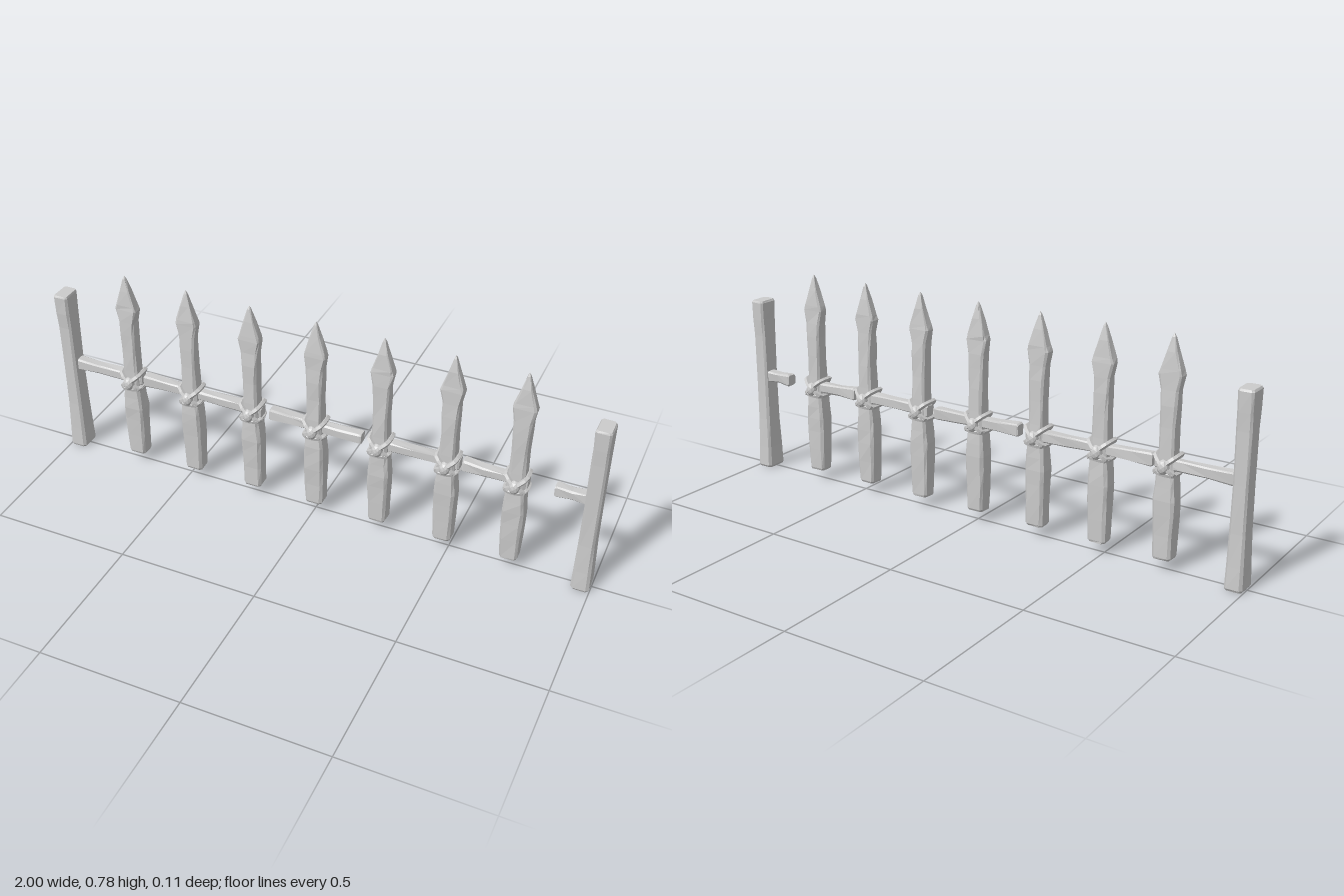
import * as THREE from 'three';

const material = new THREE.MeshStandardMaterial({ color: 0xcccccc, flatShading: true });
const RAIL_Y = 0.36;

// Small seeded generator for the hand-carved unevenness
let seed = 7;
function wobble(amount) {
  seed = (seed * 16807) % 2147483647;
  return (seed / 2147483647 - 0.5) * 2 * amount;
}

// Chamfered rectangle, eight corners in the x-z plane
function outline(hw, hd) {
  const c = 0.28 * Math.min(hw, hd);
  const x = hw - c, z = hd - c;
  return [[hw, z], [hw, -z], [x, -hd], [-x, -hd], [-hw, -z], [-hw, z], [-x, hd], [x, hd]];
}

// Skin through sections [y, half width, half depth]; a zero-size section closes an end
function loft(sections, rough) {
  const positions = [], indices = [];
  for (const [y, hw, hd] of sections) {
    const r = hw < 0.004 ? 0 : rough;
    for (const [x, z] of outline(hw, hd)) {
      positions.push(x + wobble(r), y, z + wobble(r));
    }
  }
  for (let s = 0; s < sections.length - 1; s++) {
    for (let i = 0; i < 8; i++) {
      const a = s * 8 + i, b = s * 8 + (i + 1) % 8;
      indices.push(a, b, b + 8, a, b + 8, a + 8);
    }
  }
  const geometry = new THREE.BufferGeometry();
  geometry.setAttribute('position', new THREE.Float32BufferAttribute(positions, 3));
  geometry.setIndex(indices);
  geometry.computeVertexNormals();
  return geometry;
}

function addMesh(parent, name, geometry) {
  const mesh = new THREE.Mesh(geometry, material);
  mesh.name = name;
  parent.add(mesh);
  return mesh;
}

// Square end post with worn waist and open foot
function postGeometry() {
  return loft([
    [0.002, 0.022, 0.028], [0, 0.028, 0.037], [0.008, 0.031, 0.041], [0.08, 0.029, 0.038],
    [0.19, 0.027, 0.034], [0.35, 0.026, 0.033], [0.52, 0.026, 0.034], [0.58, 0.026, 0.037],
    [0.645, 0.027, 0.038], [0.652, 0.023, 0.034], [0.652, 0, 0]
  ], 0.001);
}

// Carved picket with a broad foot, narrow waist and spear point
function picketGeometry() {
  return loft([
    [0.042, 0.022, 0.019], [0.038, 0.029, 0.026], [0.046, 0.032, 0.029], [0.12, 0.034, 0.03],
    [0.19, 0.036, 0.031], [0.24, 0.037, 0.032], [0.285, 0.034, 0.031], [0.325, 0.03, 0.029],
    [0.4, 0.027, 0.027], [0.48, 0.026, 0.025], [0.55, 0.028, 0.024], [0.6, 0.03, 0.022],
    [0.648, 0.039, 0.02], [0.665, 0.035, 0.019], [0.72, 0.018, 0.014], [0.765, 0.005, 0.006],
    [0.778, 0, 0]
  ], 0.0016);
}

// Rail piece from x0 to x1, thicker toward its cut ends
function railGeometry(x0, x1) {
  const sections = [[x0, 0, 0], [x0, 0.019, 0.017], [x0 + 0.006, 0.022, 0.019]];
  const steps = Math.max(2, Math.round((x1 - x0) / 0.08));
  for (let i = 1; i < steps; i++) {
    const t = i / steps;
    const waist = 0.004 * Math.sin(Math.PI * t);
    sections.push([x0 + (x1 - x0) * t, 0.021 - waist, 0.019 - waist * 0.5]);
  }
  sections.push([x1 - 0.006, 0.021, 0.019], [x1, 0.018, 0.017], [x1, 0, 0]);
  return loft(sections, 0.0018).rotateZ(-Math.PI / 2);
}

// Rope loop around the picket; slope tilts it over and under the rail
function ropeLoop(y, slope, bulge) {
  const points = [[-1, 1], [0, 1], [1, 1], [1, -1], [0, -1], [-1, -1]].map(([x, z]) =>
    new THREE.Vector3(x * 0.032, y + x * slope, z * (x ? 0.027 : bulge)));
  const path = new THREE.CatmullRomCurve3(points, true, 'catmullrom', 0.3);
  return new THREE.TubeGeometry(path, 20, 0.009, 5, true);
}

// Crossed lashing with a gathered knot on both faces
function createLashing() {
  const lashing = new THREE.Group();
  lashing.name = 'ropeLashing';
  addMesh(lashing, 'risingRope', ropeLoop(RAIL_Y, 0.027, 0.043));
  addMesh(lashing, 'fallingRope', ropeLoop(RAIL_Y, -0.027, 0.039));
  addMesh(lashing, 'lowerRope', ropeLoop(0.333, 0.002, 0.036));
  for (const side of [1, -1]) {
    const knot = addMesh(lashing, side > 0 ? 'frontKnot' : 'backKnot', new THREE.IcosahedronGeometry(1, 1));
    knot.scale.set(0.02, 0.026, 0.02);
    knot.position.set(0, RAIL_Y - 0.005, side * 0.036);
  }
  return lashing;
}

export function createModel() {
  seed = 7;
  const fence = new THREE.Group();
  fence.name = 'picketFence';

  // End posts
  for (const side of [-1, 1]) {
    const post = addMesh(fence, side > 0 ? 'leftPost' : 'rightPost', postGeometry());
    post.position.x = side * 0.967;
  }

  // Lashed pickets
  [-0.714, -0.478, -0.24, 0, 0.238, 0.476, 0.713].forEach((x, i) => {
    const picket = new THREE.Group();
    picket.name = 'picket' + (i + 1);
    addMesh(picket, 'picketStake', picketGeometry());
    picket.add(createLashing());
    picket.position.x = x;
    fence.add(picket);
  });

  // Broken rail pieces: start, end, tilt
  const rails = [
    [-0.95, -0.675, 0.008], [-0.668, -0.202, -0.012], [-0.172, 0.17, -0.012],
    [0.2, 0.518, 0.01], [0.526, 0.75, -0.02], [0.838, 0.95, 0]
  ];
  rails.forEach(([x0, x1, tilt], i) => {
    const half = (x1 - x0) / 2;
    const rail = addMesh(fence, 'rail' + (i + 1), railGeometry(-half, half));
    rail.position.set((x0 + x1) / 2, RAIL_Y + 0.001, -0.004);
    rail.rotation.z = tilt;
  });

  return fence;
}
